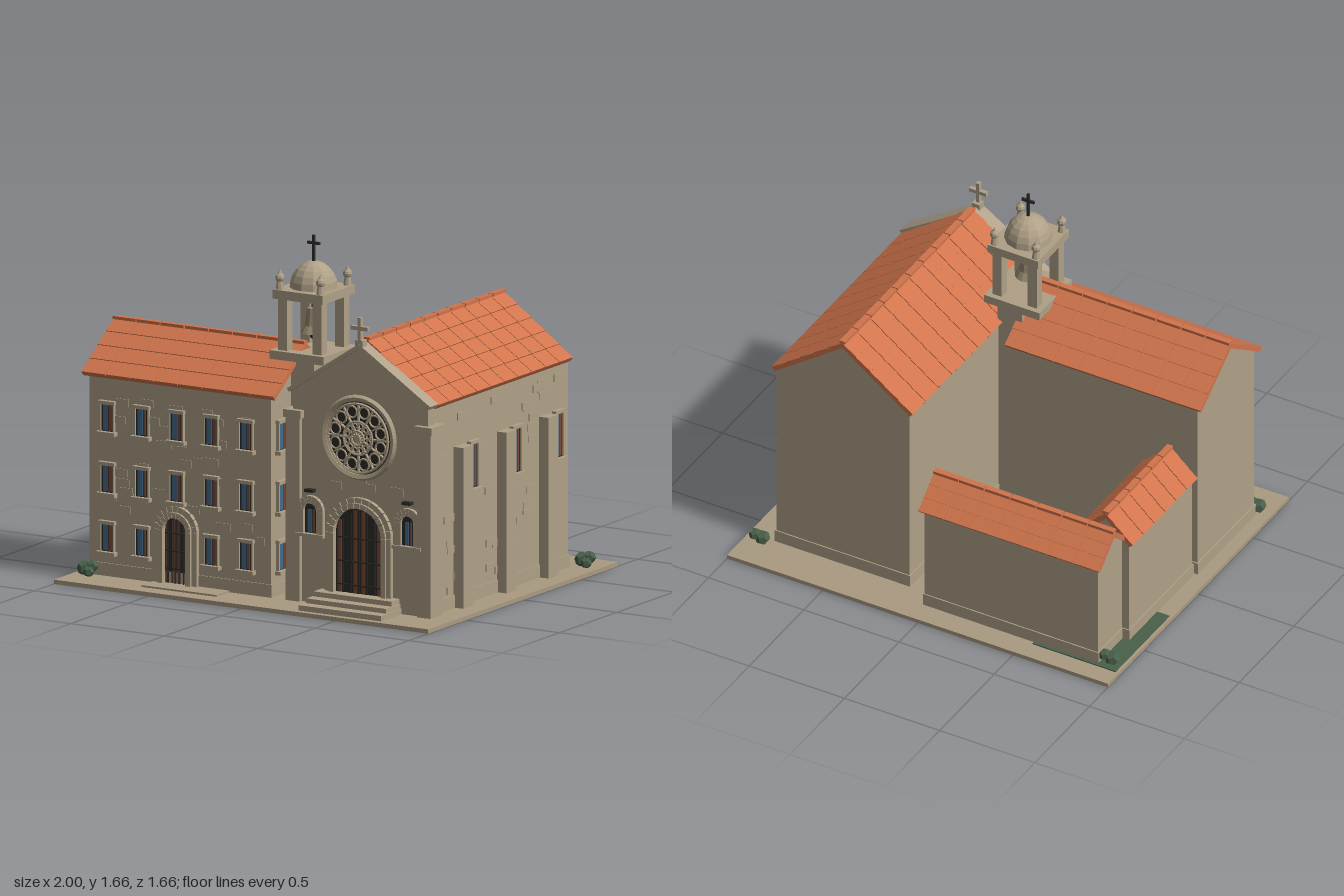
import * as THREE from 'three';

const mat = (name, hex) => {
  const m = new THREE.MeshStandardMaterial({ color: hex });
  m.name = name;
  m.flatShading = true;
  return m;
};

export function createModel() {
  const stone = mat('stone', 0xb0a187), paving = mat('paving', 0xaa9b81), tile = mat('roof tile', 0xd0744c);
  const wood = mat('red wood', 0x7d4a38), glass = mat('blue glass', 0x456c8c), dark = mat('dark iron', 0x2c2c2b);
  const green = mat('foliage', 0x49614a), bronze = mat('bell bronze', 0x9a8c72);
  const root = new THREE.Group();
  root.name = 'missionChurch';

  const add = (parent, name, geo, m, x = 0, y = 0, z = 0) => {
    const mesh = new THREE.Mesh(geo, m);
    mesh.name = name;
    mesh.position.set(x, y, z);
    parent.add(mesh);
    return mesh;
  };
  const box = (parent, name, m, w, h, d, x, y, z) => add(parent, name, new THREE.BoxGeometry(w, h, d), m, x, y, z);
  // box given by its limits on each axis
  const span = (parent, name, m, x0, x1, y0, y1, z0, z1) =>
    box(parent, name, m, x1 - x0, y1 - y0, z1 - z0, (x0 + x1) / 2, (y0 + y1) / 2, (z0 + z1) / 2);
  const group = (name, x = 0, y = 0, z = 0, ry = 0, parent = root) => {
    const g = new THREE.Group();
    g.name = name;
    g.position.set(x, y, z);
    g.rotation.y = ry;
    parent.add(g);
    return g;
  };
  let seed = 7;
  const rnd = () => (seed = (seed * 16807) % 2147483647) / 2147483647;

  // Gabled block: pentagon walls, ridge along local z, tiled slopes
  function building(name, cx, cz, ry, wallHalf, wallLen, roofHalf, roofLen, eave, ridge, cols, rows, roofShift = 0) {
    const g = group(name, cx, 0, cz, ry);
    const slope = (ridge - eave) / roofHalf, top = ridge - 0.025, side = top - slope * wallHalf;
    const s = new THREE.Shape([[-wallHalf, 0.02], [wallHalf, 0.02], [wallHalf, side], [0, top], [-wallHalf, side]]
      .map(p => new THREE.Vector2(...p)));
    add(g, 'walls', new THREE.ExtrudeGeometry(s, { depth: wallLen, bevelEnabled: false }), stone, 0, 0, -wallLen / 2);
    box(g, 'plinth', stone, wallHalf * 2 + 0.012, 0.06, wallLen + 0.012, 0, 0.05, 0);
    const L = Math.hypot(roofHalf, ridge - eave), ang = Math.atan(slope), pitch = roofLen / cols;
    for (const k of [-1, 1]) {
      const pane = group('roofSlope', 0, ridge, roofShift, 0, g);
      pane.rotation.z = -k * ang;
      box(pane, 'roofDeck', tile, L, 0.014, roofLen - 0.006, k * L / 2, -0.018, 0);
      for (let i = 0; i < cols; i++) for (let j = 0; j < rows; j++) {
        const t = box(pane, 'roofTile', tile, L / rows * 1.03, 0.013, pitch - 0.004,
          k * (j + 0.5) * L / rows, -0.008, (i + 0.5) * pitch - roofLen / 2);
        t.rotation.z = k * 0.05;
      }
    }
    for (let i = 0; i < cols; i++)
      box(g, 'ridgeTile', tile, 0.03, 0.014, pitch - 0.006, 0, ridge, (i + 0.5) * pitch - roofLen / 2 + roofShift);
    return g;
  }

  // Ring of wedge stones with jambs
  function arch(parent, name, r0, r1, depth, baseY, springY, n) {
    const g = group(name, 0, 0, 0, 0, parent);
    for (let i = 0; i < n; i++) {
      const a = i / n * Math.PI + 0.012, b = (i + 1) / n * Math.PI - 0.012;
      const s = new THREE.Shape();
      s.absarc(0, 0, r1, a, b, false);
      s.absarc(0, 0, r0, b, a, true);
      add(g, 'archStone', new THREE.ExtrudeGeometry(s, { depth, bevelEnabled: false, curveSegments: 3 }), stone, 0, springY, 0);
    }
    for (const k of [-1, 1]) box(g, 'jamb', stone, r1 - r0, springY - baseY, depth, k * (r0 + r1) / 2, (baseY + springY) / 2, depth / 2);
  }
  // Round-topped panel
  function archPanel(parent, name, m, r, baseY, springY, z) {
    const s = new THREE.Shape();
    s.moveTo(-r, baseY);
    s.lineTo(r, baseY);
    s.lineTo(r, springY);
    s.absarc(0, springY, r, 0, Math.PI, false);
    add(parent, name, new THREE.ExtrudeGeometry(s, { depth: 0.006, bevelEnabled: false }), m, 0, 0, z);
  }
  // Window facing local +z, centred on its opening
  function windowUnit(x, y, z, ry, w, h) {
    const g = group('window', x, y, z, ry);
    box(g, 'opening', dark, w, h, 0.008, 0, 0, 0.004);
    box(g, 'pane', glass, w * 0.42, h * 0.92, 0.006, -w * 0.14, 0, 0.008);
    box(g, 'shutter', wood, w * 0.2, h * 0.92, 0.006, w * 0.24, 0, 0.008);
    for (const k of [-1, 1]) box(g, 'frameSide', stone, 0.007, h, 0.016, k * (w / 2 + 0.0035), 0, 0.008);
    box(g, 'lintel', stone, w + 0.022, 0.016, 0.022, 0, h / 2 + 0.006, 0.011);
    box(g, 'sill', stone, w + 0.035, 0.018, 0.03, 0, -h / 2 - 0.008, 0.015);
  }
  // Slightly raised stones scattered on a wall facing local +z
  function wallStones(x, z, ry, halfW, y0, y1, count) {
    const g = group('wallStones', x, 0, z, ry);
    for (let i = 0; i < count; i++)
      box(g, 'wallStone', stone, 0.05 + rnd() * 0.04, 0.035, 0.006, (rnd() * 2 - 1) * (halfW - 0.05), y0 + rnd() * (y1 - y0), 0.001);
  }

  // Ground, lawn and courtyard
  span(root, 'ground', paving, -1, 1, 0, 0.02, -0.83, 0.83);
  span(root, 'lawn', green, -0.985, -0.55, 0.02, 0.025, -0.735, -0.24);
  span(root, 'courtyard', paving, -0.56, -0.18, 0.02, 0.032, -0.37, -0.02);
  span(root, 'path', paving, -0.58, -0.18, 0.02, 0.028, 0.62, 0.75);

  // Main blocks
  building('nave', 0.51, -0.027, 0, 0.35, 1.19, 0.37, 1.2, 1.0, 1.27, 10, 5, -0.005);
  building('frontWing', -0.445, 0.372, Math.PI / 2, 0.26, 0.97, 0.285, 1.03, 0.965, 1.165, 8, 4);
  building('backWing', -0.425, -0.59, Math.PI / 2, 0.122, 0.91, 0.15, 0.95, 0.56, 0.69, 7, 3);
  building('westWing', -0.797, -0.2, 0, 0.118, 0.58, 0.143, 0.6, 0.57, 0.7, 6, 3);
  span(root, 'towerShaft', stone, 0.035, 0.165, 0.02, 1.1, 0.19, 0.46);

  // Church facade with coping, buttresses and cross
  const gable = (w, y0, y1, apex) => new THREE.Shape([[-w, y0], [w, y0], [w, y1], [0, apex], [-w, y1]].map(p => new THREE.Vector2(...p)));
  add(root, 'facade', new THREE.ExtrudeGeometry(gable(0.36, 0.02, 1, 1.24), { depth: 0.06, bevelEnabled: false }), stone, 0.51, 0, 0.56);
  for (const k of [-1, 1]) {
    const c = box(root, 'coping', stone, 0.455, 0.018, 0.075, 0.51 + k * 0.187, 1.125, 0.6);
    c.rotation.z = -k * Math.atan2(0.245, 0.375);
    const x = 0.51 + k * 0.35;
    span(root, 'buttress', stone, x - 0.037, x + 0.037, 0.02, 0.88, 0.535, 0.64);
    span(root, 'buttressCap', stone, x - 0.047, x + 0.047, 0.875, 0.912, 0.53, 0.648);
  }
  box(root, 'crossBase', stone, 0.04, 0.04, 0.04, 0.51, 1.255, 0.615);
  box(root, 'crossPost', stone, 0.018, 0.12, 0.022, 0.51, 1.32, 0.622);
  box(root, 'crossArm', stone, 0.09, 0.018, 0.022, 0.51, 1.33, 0.622);

  // Rose window
  const rose = group('roseWindow', 0.51, 0.82, 0.62);
  const disc = add(rose, 'roseGlass', new THREE.CylinderGeometry(0.175, 0.175, 0.02, 40), dark);
  disc.rotation.x = Math.PI / 2;
  const ring = (r, t, x, y, z) => add(rose, 'tracery', new THREE.TorusGeometry(r, t, 5, r > 0.1 ? 48 : 14), stone, x, y, z);
  ring(0.184, 0.016, 0, 0, 0.01);
  ring(0.16, 0.007, 0, 0, 0.022);
  ring(0.078, 0.006, 0, 0, 0.022);
  ring(0.034, 0.006, 0, 0, 0.025);
  const hub = add(rose, 'hub', new THREE.CylinderGeometry(0.018, 0.018, 0.03, 12), stone, 0, 0, 0.02);
  hub.rotation.x = Math.PI / 2;
  for (let i = 0; i < 12; i++) {
    const a = i / 12 * Math.PI * 2, b = a + Math.PI / 12;
    const s = box(rose, 'spoke', stone, 0.145, 0.007, 0.014, Math.cos(a) * 0.09, Math.sin(a) * 0.09, 0.018);
    s.rotation.z = a;
    ring(0.027, 0.005, Math.cos(b) * 0.125, Math.sin(b) * 0.125, 0.022);
    ring(0.011, 0.004, Math.cos(b) * 0.058, Math.sin(b) * 0.058, 0.022);
  }

  // Arched doors: boards and bars inside a stone arch
  function door(name, x, z, r, r1, spring, n) {
    const g = group(name, x, 0, z);
    archPanel(g, 'doorway', dark, r, 0.02, spring, 0);
    const mid = (r + r1) / 2;
    arch(g, 'outerArch', mid, r1, 0.022, 0.02, spring, n);
    arch(g, 'innerArch', r, mid, 0.034, 0.02, spring, n);
    const boards = 6;
    for (let i = 0; i < boards; i++) {
      const px = (i + 0.5 - boards / 2) * r * 2 / boards;
      const h = spring + Math.sqrt(r * r - px * px) * 0.92 - 0.025;
      if (i !== 1 && i !== 4) box(g, 'board', wood, r * 0.17, h, 0.006, px, 0.022 + h / 2, 0.007);
      box(g, 'bar', dark, r * 0.05, h, 0.008, px + r * 0.13, 0.022 + h / 2, 0.008);
    }
    for (const f of [0.35, 0.65, 0.95]) box(g, 'strap', dark, r * 1.9, 0.006, 0.008, 0, spring * f, 0.01);
  }
  door('churchDoor', 0.51, 0.62, 0.127, 0.175, 0.365, 13);
  door('wingDoor', -0.46, 0.632, 0.062, 0.115, 0.275, 11);

  // Side niches
  for (const x of [0.25, 0.77]) {
    const g = group('niche', x, 0, 0.62);
    archPanel(g, 'nicheOpening', dark, 0.034, 0.34, 0.45, 0);
    box(g, 'nichePane', glass, 0.02, 0.11, 0.006, -0.008, 0.4, 0.006);
    box(g, 'nicheShutter', wood, 0.008, 0.11, 0.006, 0.014, 0.4, 0.006);
    arch(g, 'nicheArch', 0.034, 0.07, 0.02, 0.34, 0.45, 9);
    box(g, 'nicheSill', stone, 0.15, 0.015, 0.03, 0, 0.337, 0.015);
    box(g, 'lamp', dark, 0.045, 0.014, 0.03, 0, 0.545, 0.015);
  }
  [[0.8, 0.045], [0.745, 0.067], [0.69, 0.09]].forEach(([z, y], i) =>
    span(root, 'step', stone, 0.29 + i * 0.006, 0.73 - i * 0.006, 0.02, y, 0.62, z));

  // Windows
  for (const y of [0.2, 0.475, 0.76]) {
    for (let i = 0; i < 5; i++)
      if (i !== 2 || y > 0.3) windowUnit(-0.83 + i * 0.185, y, 0.632, 0, 0.064, 0.13);
    windowUnit(0.04, y, 0.55, Math.PI / 2, 0.064, 0.13);
  }
  for (const z of [0.22, -0.153, -0.523]) windowUnit(0.86, 0.655, z, Math.PI / 2, 0.066, 0.21);
  for (const z of [0.335, -0.043, -0.408]) span(root, 'sideButtress', stone, 0.85, 0.912, 0.02, 0.77, z - 0.043, z + 0.043);

  // Raised masonry
  wallStones(-0.445, 0.632, 0, 0.48, 0.1, 0.9, 34);
  wallStones(0.51, 0.62, 0, 0.3, 0.58, 0.62, 5);
  wallStones(0.86, -0.02, Math.PI / 2, 0.57, 0.1, 0.93, 50);

  // Bell tower
  const bell = group('bellTower', 0.08, 0, 0.325);
  box(bell, 'towerBase', stone, 0.29, 0.04, 0.3, 0, 1.113, 0);
  for (const x of [-0.092, 0.092]) for (const z of [-0.1, 0.1]) {
    box(bell, 'post', stone, 0.048, 0.25, 0.048, x, 1.255, z);
    add(bell, 'finialStem', new THREE.CylinderGeometry(0.014, 0.02, 0.04, 8), stone, x * 1.18, 1.435, z * 1.18);
    add(bell, 'finialBall', new THREE.SphereGeometry(0.022, 8, 6), stone, x * 1.18, 1.47, z * 1.18);
    add(bell, 'finialTip', new THREE.ConeGeometry(0.012, 0.025, 8), stone, x * 1.18, 1.497, z * 1.18);
  }
  box(bell, 'towerSlab', stone, 0.265, 0.042, 0.285, 0, 1.395, 0);
  add(bell, 'dome', new THREE.SphereGeometry(0.11, 12, 6, 0, Math.PI * 2, 0, Math.PI / 2), stone, 0, 1.415, 0).scale.y = 1.13;
  box(bell, 'crossPost', dark, 0.012, 0.13, 0.012, 0, 1.595, 0);
  box(bell, 'crossArm', dark, 0.066, 0.012, 0.012, 0, 1.622, 0);
  const profile = [[0, 1.325], [0.03, 1.32], [0.036, 1.28], [0.042, 1.24], [0.062, 1.205], [0.05, 1.205], [0, 1.27]];
  add(bell, 'bell', new THREE.LatheGeometry(profile.map(p => new THREE.Vector2(...p)).reverse(), 14), bronze);
  box(bell, 'bellHanger', dark, 0.015, 0.06, 0.015, 0, 1.35, 0);
  add(bell, 'clapper', new THREE.SphereGeometry(0.018, 8, 6), dark, 0, 1.19, 0);
  box(bell, 'clapperRod', dark, 0.008, 0.08, 0.008, 0, 1.225, 0);

  // Shrubs
  const shrub = (x, z, y) => {
    const g = group('shrub', x, y, z);
    for (const [dx, dy, dz, r] of [[-0.014, 0.032, -0.004, 0.036], [0.02, 0.044, -0.012, 0.03], [0.018, 0.022, 0.014, 0.026]])
      add(g, 'leaves', new THREE.DodecahedronGeometry(r), green, dx, dy, dz);
  };
  for (const [x, z] of [[-0.925, -0.68], [0.92, -0.665], [-0.92, 0.672]]) shrub(x, z, 0.02);
  for (const x of [-0.47, -0.27]) for (const z of [-0.29, -0.11]) shrub(x, z, 0.03);

  return root;
}
